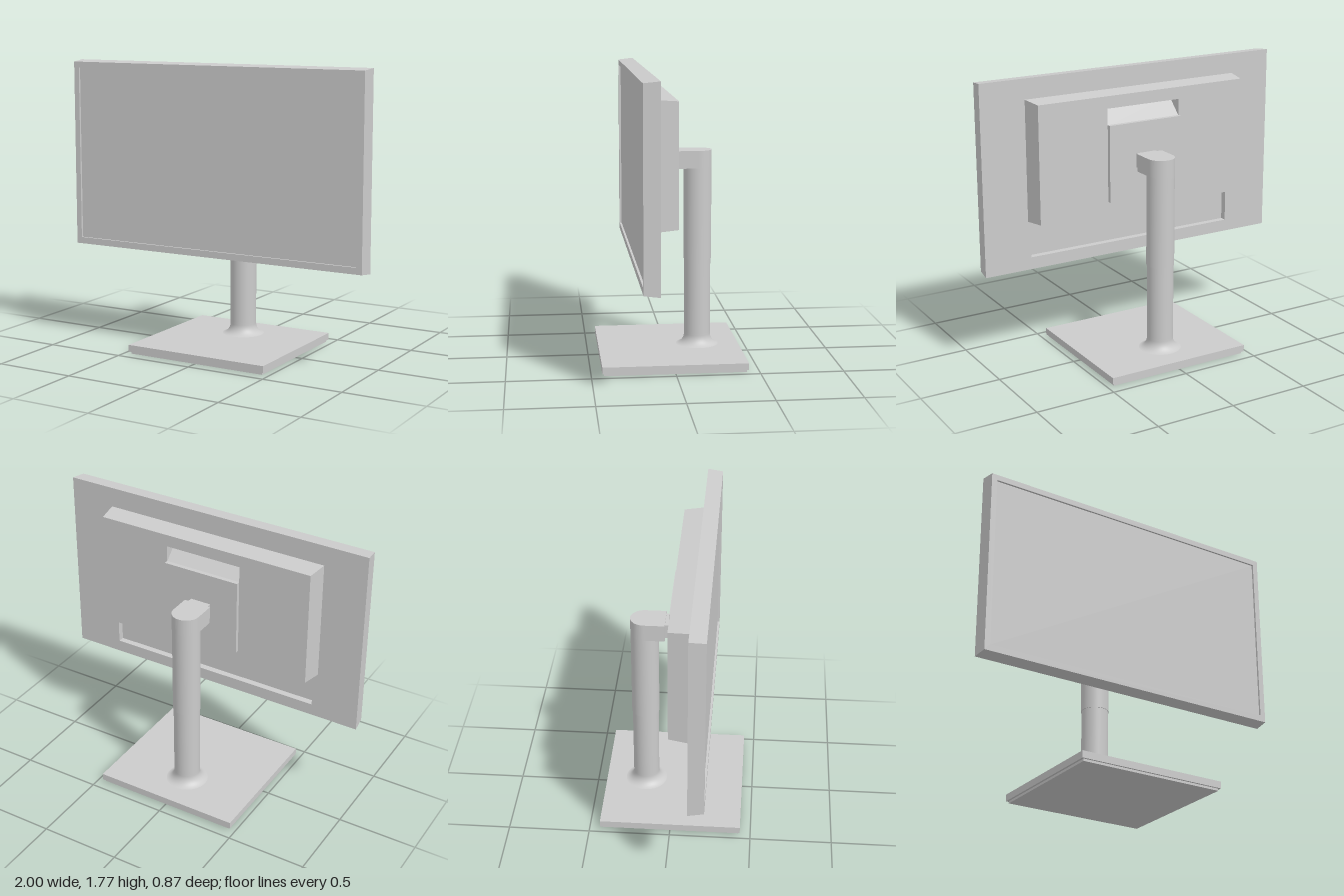
import * as THREE from 'three';

const material = new THREE.MeshStandardMaterial({ color: 0xcccccc });
const CX = -0.01; // stand and rear housing sit slightly off centre
const CZ = -0.182; // column axis

function add(group, name, geometry, x = 0, y = 0, z = 0) {
  const mesh = new THREE.Mesh(geometry, material);
  mesh.name = name;
  mesh.position.set(x, y, z);
  group.add(mesh);
  return mesh;
}

// Box given by its limits on each axis
function addBox(group, name, [x0, x1], [y0, y1], [z0, z1]) {
  return add(group, name, new THREE.BoxGeometry(x1 - x0, y1 - y0, z1 - z0),
    (x0 + x1) / 2, (y0 + y1) / 2, (z0 + z1) / 2);
}

// Skin over rectangles [x0, x1, y0, y1, z], listed from the back cap to the front cap
function loftRects(rects) {
  const loops = rects.map(([x0, x1, y0, y1, z]) =>
    [[x0, y0, z], [x1, y0, z], [x1, y1, z], [x0, y1, z]]);
  const positions = [];
  const quad = (a, b, c, d) => positions.push(...a, ...b, ...c, ...a, ...c, ...d);
  const first = loops[0];
  const last = loops[loops.length - 1];
  quad(first[0], first[3], first[2], first[1]);
  for (let i = 0; i < loops.length - 1; i++) {
    for (let k = 0; k < 4; k++) {
      const n = (k + 1) % 4;
      quad(loops[i][k], loops[i][n], loops[i + 1][n], loops[i + 1][k]);
    }
  }
  quad(...last);
  const geometry = new THREE.BufferGeometry();
  geometry.setAttribute('position', new THREE.Float32BufferAttribute(positions, 3));
  geometry.computeVertexNormals();
  return geometry;
}

export function createModel() {
  const model = new THREE.Group();
  model.name = 'monitor';

  // Display: rear port recess, tapered frame, sunken screen
  add(model, 'displayPanel', loftRects([
    [-0.7, 0.7, 0.675, 0.93, 0.18],
    [-0.7, 0.7, 0.675, 0.93, 0.14],
    [-1, 1, 0.6, 1.77, 0.14],
    [-0.99, 0.99, 0.61, 1.76, 0.235],
    [-0.955, 0.955, 0.65, 1.725, 0.235],
    [-0.955, 0.955, 0.65, 1.725, 0.222],
  ]));

  // Rear housing with a wedge-shaped notch above the mounting plate
  add(model, 'rearHousing', loftRects([
    [-0.255, 0.24, 1.56, 1.56, 0.12],
    [-0.255, 0.24, 1.455, 1.56, 0.01],
    [-0.71, 0.695, 0.913, 1.635, 0.01],
    [-0.73, 0.715, 0.903, 1.645, 0.14],
  ]));

  // Mount between the housing and the stand
  addBox(model, 'mountingPlate', [-0.255, 0.24], [0.985, 1.46], [-0.015, 0.012]);
  addBox(model, 'mountNeck', [-0.075, 0.057], [1.18, 1.268], [-0.08, -0.01]);

  // Arm head: flat front, rounded back
  const r = 0.086;
  const outline = new THREE.Shape();
  outline.moveTo(-r, 0.055);
  outline.lineTo(r, 0.055);
  outline.lineTo(r, -CZ);
  outline.absarc(0, -CZ, r, 0, Math.PI, false);
  outline.closePath();
  const headGeometry = new THREE.ExtrudeGeometry(outline,
    { depth: 0.107, bevelEnabled: false, curveSegments: 32 });
  headGeometry.rotateX(-Math.PI / 2);
  add(model, 'armHead', headGeometry, CX, 1.168, 0);

  // Column: wider sleeve above, flared post below
  add(model, 'columnSleeve', new THREE.CylinderGeometry(0.085, 0.085, 0.6, 48), CX, 0.9, CZ);
  const profile = [];
  for (let i = 0; i <= 10; i++) {
    const a = (i / 10) * Math.PI / 2;
    profile.push(new THREE.Vector2(0.141 - 0.06 * Math.sin(a), 0.12 - 0.065 * Math.cos(a)));
  }
  profile.push(new THREE.Vector2(0.081, 0.14), new THREE.Vector2(0.081, 0.61));
  add(model, 'columnPost', new THREE.LatheGeometry(profile, 48), CX, 0, CZ);

  // Base slab on an inset foot pad
  addBox(model, 'baseSlab', [-0.468, 0.468], [0.014, 0.056], [-0.435, 0.435]);
  addBox(model, 'footPad', [-0.455, 0.455], [0, 0.02], [-0.424, 0.424]);

  return model;
}
